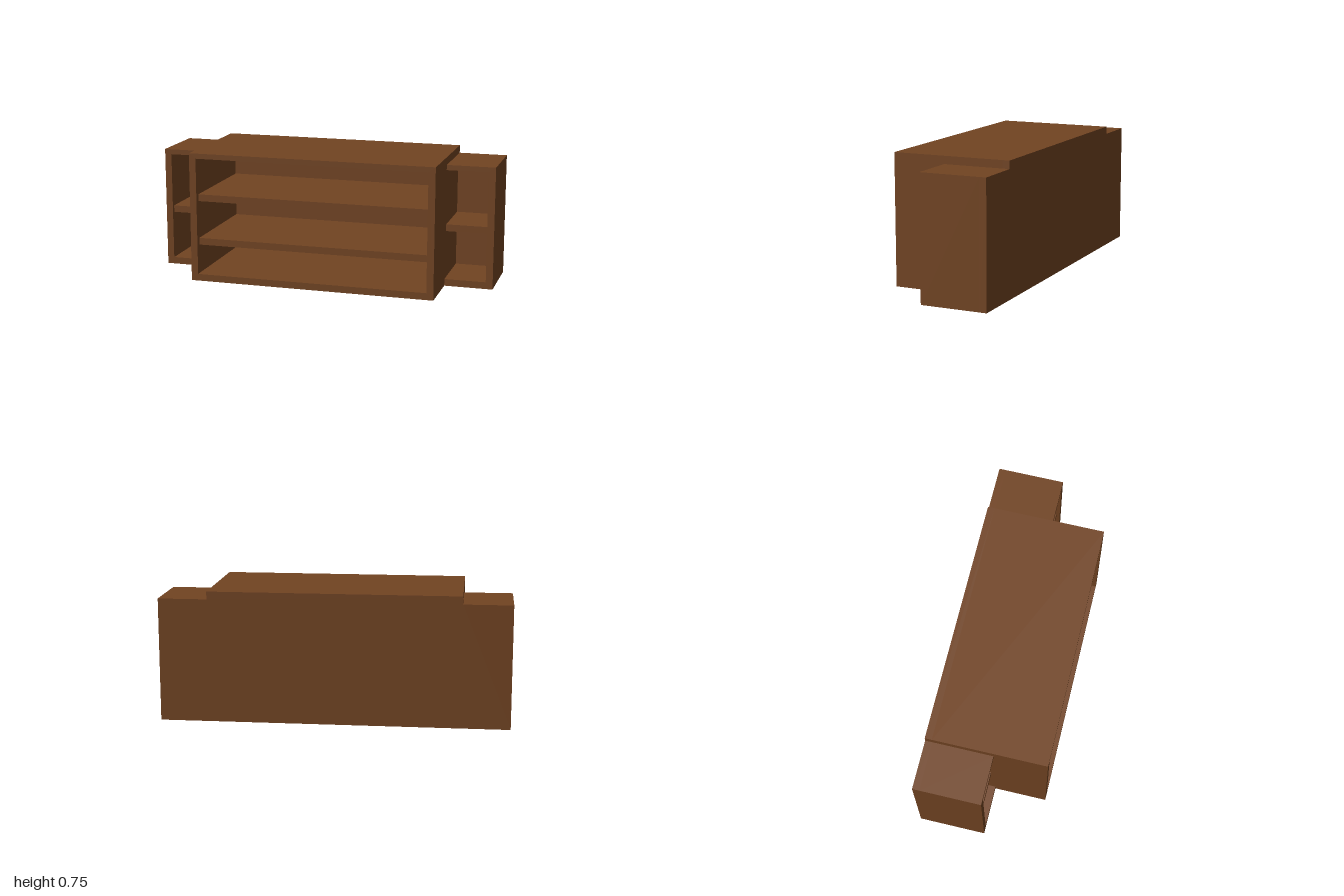
import * as THREE from 'three';

const W = 0.72, H = 0.755, SIDE_H = 0.71, T = 0.04;
const BACK = -0.345, FRONT = 0.345, SIDE_FRONT = 0.04;

export function createModel() {
  const group = new THREE.Group();
  const wood = new THREE.MeshStandardMaterial({ color: 0x724422 });

  const polygon = (points) => new THREE.Shape(points.map(([x, y]) => new THREE.Vector2(x, y)));

  // Extrudes an outline along z between two depths
  function panel(name, shape, z0, z1) {
    const geometry = new THREE.ExtrudeGeometry(shape, { depth: z1 - z0, bevelEnabled: false });
    const mesh = new THREE.Mesh(geometry, wood);
    mesh.position.z = z0;
    mesh.name = name;
    group.add(mesh);
  }

  function box(name, x0, x1, y0, y1, z0, z1) {
    const mesh = new THREE.Mesh(new THREE.BoxGeometry(x1 - x0, y1 - y0, z1 - z0), wood);
    mesh.position.set((x0 + x1) / 2, (y0 + y1) / 2, (z0 + z1) / 2);
    mesh.name = name;
    group.add(mesh);
  }

  // One back panel across the whole stepped silhouette
  panel('backPanel', polygon([
    [-1, 0], [1, 0], [1, SIDE_H], [W, SIDE_H], [W, H], [-W, H], [-W, SIDE_H], [-1, SIDE_H],
  ]), BACK, BACK + T);

  // Deep central case, open at the front
  const frame = polygon([[-W, 0], [W, 0], [W, H], [-W, H]]);
  const inner = W - T;
  frame.holes.push(polygon([[-inner, T], [-inner, H - 0.03], [inner, H - 0.03], [inner, T]]));
  panel('centralCase', frame, BACK + T, FRONT);

  // Two central shelves, set slightly back from the front edge
  for (const y of [0.21, 0.47]) {
    box('centralShelf', -inner, inner, y, y + T, BACK + T, FRONT - 0.03);
  }

  // Shallow side units: floor, outer wall and top in one piece, plus a shelf
  for (const s of [1, -1]) {
    const side = s > 0 ? 'left' : 'right';
    panel(`${side}SideCase`, polygon([
      [W, 0], [1, 0], [1, SIDE_H], [W, SIDE_H],
      [W, SIDE_H - 0.03], [1 - T, SIDE_H - 0.03], [1 - T, T], [W, T],
    ].map(([x, y]) => [s * x, y])), BACK + T, SIDE_FRONT);
    const xs = [s * W, s * (1 - T)].sort((a, b) => a - b);
    box(`${side}SideShelf`, xs[0], xs[1], 0.32, 0.36, BACK + T, SIDE_FRONT - 0.02);
  }

  return group;
}
